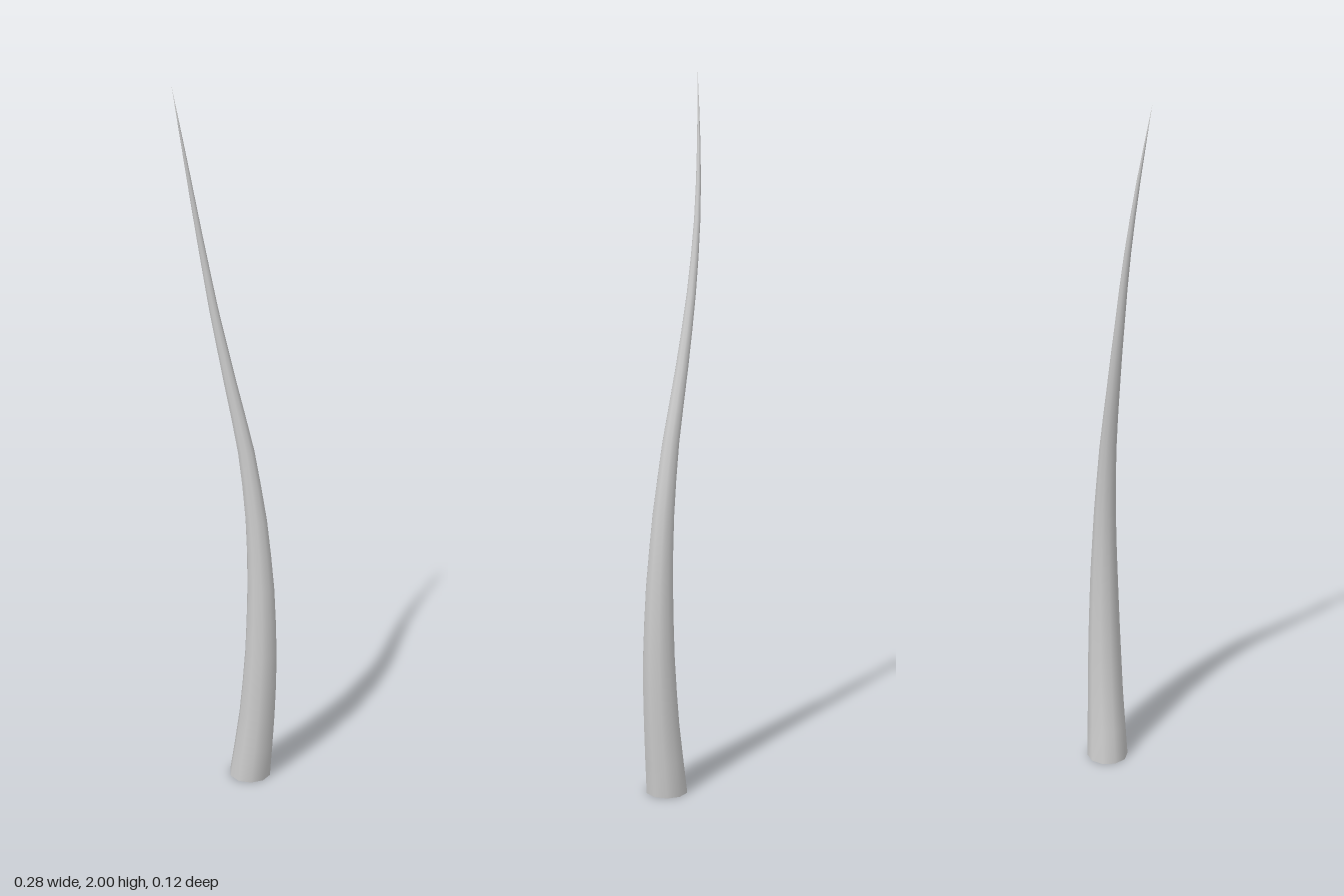
import * as THREE from 'three';
import { mergeVertices } from 'three/addons/utils/BufferGeometryUtils.js';

const HEIGHT = 2, SIDES = 10, PHASE = -11 * Math.PI / 180;

// Centre x, radius and centre z at equal steps of height, base to tip
const profile = new THREE.CatmullRomCurve3([
  [0.06, 0.06, -0.002], [0.081, 0.052, -0.002], [0.092, 0.046, -0.002],
  [0.09, 0.039, -0.003], [0.075, 0.031, -0.004], [0.044, 0.024, -0.004],
  [-0.004, 0.018, -0.002], [-0.049, 0.013, 0.003], [-0.085, 0.009, 0.013],
  [-0.114, 0.005, 0.033], [-0.14, 0, 0.06],
].map((p) => new THREE.Vector3(...p)));

export function createModel() {
  const group = new THREE.Group();
  const material = new THREE.MeshStandardMaterial({ color: 0xcccccc });

  // Curved, tapering stalk: a unit cylinder bent along the profile
  let stalk = new THREE.CylinderGeometry(1, 1, HEIGHT, SIDES, 20, true, PHASE);
  stalk.translate(0, HEIGHT / 2, 0);
  const pos = stalk.attributes.position;
  for (let i = 0; i < pos.count; i++) {
    const y = pos.getY(i);
    const c = profile.getPoint(THREE.MathUtils.clamp(y / HEIGHT, 0, 1));
    pos.setXYZ(i, c.x + pos.getX(i) * c.y, y, c.z + pos.getZ(i) * c.y);
  }
  // Weld the seam so the shading stays smooth all round
  stalk.deleteAttribute('uv');
  stalk.deleteAttribute('normal');
  stalk = mergeVertices(stalk, 1e-5);
  stalk.computeVertexNormals();
  const stalkMesh = new THREE.Mesh(stalk, material);
  stalkMesh.name = 'stalk';
  group.add(stalkMesh);

  // Flat base, facing down
  const base = profile.getPoint(0);
  const cap = new THREE.CircleGeometry(base.y, SIDES, PHASE + Math.PI / 2);
  cap.rotateX(Math.PI / 2);
  cap.translate(base.x, 0, base.z);
  const capMesh = new THREE.Mesh(cap, material);
  capMesh.name = 'baseCap';
  group.add(capMesh);

  return group;
}
